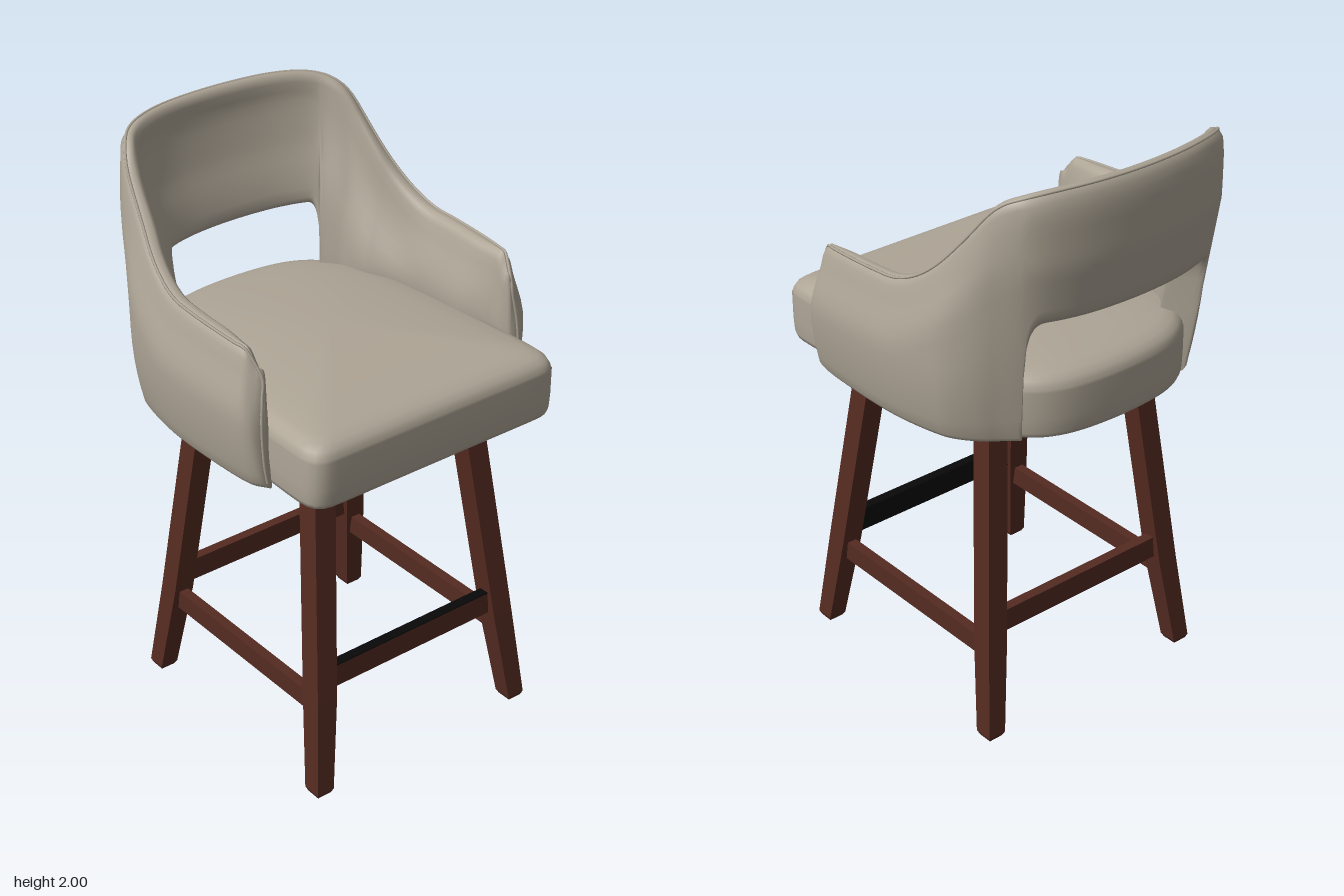
import * as THREE from 'three';

const V2 = THREE.Vector2, V3 = THREE.Vector3;
const mix = THREE.MathUtils.lerp;
const ss = (a, b, x) => THREE.MathUtils.smoothstep(x, a, b);

const fabric = new THREE.MeshStandardMaterial({ color: 0xaea596 });
fabric.name = 'taupeUpholstery';
const wood = new THREE.MeshStandardMaterial({ color: 0x542b21 });
wood.name = 'darkWood';
const metal = new THREE.MeshStandardMaterial({ color: 0x080808 });
metal.name = 'blackMetal';

function add(group, name, geometry, material, x = 0, y = 0, z = 0) {
  const mesh = new THREE.Mesh(geometry, material);
  mesh.name = name;
  mesh.position.set(x, y, z);
  group.add(mesh);
}

// Skin a list of equal-length closed rings, with fans on both ends
function loft(rings) {
  const n = rings[0].length, pos = rings.flat().flatMap(p => [p.x, p.y, p.z]), idx = [];
  for (let i = 0; i < rings.length - 1; i++) {
    for (let j = 0; j < n; j++) {
      const k = (j + 1) % n, a = i * n + j, b = a + n, c = i * n + k, d = c + n;
      idx.push(a, b, c, b, d, c);
    }
  }
  [0, rings.length - 1].forEach((r, end) => {
    const mid = rings[r].reduce((s, p) => s.add(p), new V3()).divideScalar(n);
    const m = pos.length / 3;
    pos.push(mid.x, mid.y, mid.z);
    for (let j = 0; j < n; j++) {
      const a = r * n + j, b = r * n + (j + 1) % n;
      if (end) idx.push(m, b, a); else idx.push(m, a, b);
    }
  });
  const g = new THREE.BufferGeometry();
  g.setAttribute('position', new THREE.Float32BufferAttribute(pos, 3));
  g.setIndex(idx);
  g.computeVertexNormals();
  return g;
}

// Mirror a half outline that runs from the front to the centre of the back
const mirrored = half => [...half, ...half.slice(0, -1).reverse().map(([x, z]) => [-x, z])];
const planCurve = half => new THREE.SplineCurve(mirrored(half).map(p => new V2(...p)));

// Height of the rim: level arms, a concave sweep up, then a nearly flat back
function rimHeight(z) {
  const q = (Math.max(0, -z) / 0.45) ** 2;
  const sweep = (1 + q - Math.sqrt((1 - q) ** 2 + 0.02)) / 2;
  return 1.602 - 0.06 * Math.max(0, z) + 0.37 * sweep + 0.025 * ss(0.44, 0.59, -z)
    - 0.06 * ss(0.3, 0.375, z) ** 2;
}

// Wrap-around shell: arms and back in one padded band
function buildShell(group) {
  const plan = planCurve([
    [0.55, 0.375], [0.575, 0.3], [0.585, 0.15], [0.585, 0], [0.573, -0.13], [0.545, -0.26],
    [0.5, -0.37], [0.455, -0.44], [0.39, -0.51], [0.3, -0.555], [0.17, -0.585], [0, -0.596],
  ]);
  plan.arcLengthDivisions = 1000;
  const N = 240, length = plan.getLength(), rings = [], rim = [];

  for (let i = 0; i <= N; i++) {
    const p = plan.getPointAt(i / N), t = plan.getTangentAt(i / N);
    const nx = -t.y, nz = t.x, back = ss(0.26, 0.52, -p.y), front = ss(0.15, 0.375, p.y);
    const top = rimHeight(p.y);
    // The lower edge steps up to leave the opening under the back
    const k = THREE.MathUtils.clamp((Math.abs(p.x) - 0.31) / 0.09, 0, 1);
    const bottom = 1.12 + 0.435 * (1 - k ** 4) ** 0.25;
    // Rounded front ends of the arms
    const e = Math.min(1, Math.min(i, N - i) / N * length / 0.05);
    const round = mix(0.35, 1, Math.sqrt(1 - (1 - e) ** 2));
    const ramp = mix(0.22, 0.42, ss(0, 0.4, -p.y));
    // Extra padding where the arms turn into the back
    const bolster = 0.035 * Math.exp(-(((p.y + 0.28) / 0.12) ** 2));

    const section = (y, inset) => {
      const s = top - y;
      const armIn = 0.045 * (1 - ss(0, 0.22, s)) + 0.035 * (Math.max(0, 1.4 - y) / 0.27) ** 2;
      const backIn = 0.09 * Math.max(0, 1.75 - y) / 0.62 + 0.012 * ss(1.9, 2, y);
      const armTh = 0.06 + (0.1 + bolster) * ss(0, ramp, s) - 0.07 * (1 - ss(1.14, 1.36, y));
      const backTh = 0.05 + 0.068 * ss(0, 0.42, s);
      const d = mix(armIn, backIn, back);
      const th = mix(armTh, backTh, back) * (1 - 0.35 * front);
      const half = (th / 2 - inset) * round;
      const lean = 0.07 * (1.4 - y) * front;
      return [-half, half].map(h => {
        const o = d + th / 2 + h;
        return new V3(p.x - nx * o, y, p.y - nz * o + lean);
      });
    };
    const levels = [[bottom, 0.022], [bottom + 0.008, 0.008], [bottom + 0.025, 0]];
    for (let j = 1; j < 12; j++) levels.push([mix(bottom + 0.025, top - 0.03, j / 12), 0]);
    levels.push([top - 0.03, 0], [top - 0.01, 0.008], [top, 0.02]);
    const pairs = levels.map(l => section(...l));
    rings.push([...pairs.map(q => q[0]), ...pairs.map(q => q[1]).reverse()]);
    if (i % 3 === 0) rim.push(section(top - 0.004, 0.012)[0]);
  }
  add(group, 'armAndBackShell', loft(rings), fabric);

  // Piping along the rim and down the front of each arm
  const edge = r => rings[r].slice(2, 16).filter((_, j) => j % 2 === 0);
  const path = new THREE.CatmullRomCurve3([...edge(0), ...rim.slice(1, -1), ...edge(N).reverse()]);
  add(group, 'rimPiping', new THREE.TubeGeometry(path, 240, 0.005, 6), fabric);
}

// Crowned seat cushion: scaled copies of one outline from the crown down
function buildSeat(group) {
  const pts = planCurve([
    [0, 0.595], [0.2, 0.595], [0.4, 0.595], [0.455, 0.588], [0.482, 0.56], [0.49, 0.5], [0.483, 0.3],
    [0.465, 0], [0.43, -0.25], [0.35, -0.41], [0.22, -0.497], [0, -0.522],
  ]).getSpacedPoints(140).slice(0, -1);
  const levels = [[0.1, 1.38], [0.3, 1.378], [0.55, 1.37], [0.75, 1.36], [0.88, 1.35], [0.94, 1.34],
    [0.975, 1.325], [0.99, 1.31], [0.994, 1.3], [1, 1.292], [1, 1.2], [0.996, 1.15], [0.985, 1.134],
    [0.96, 1.128], [0.5, 1.128]];
  const rings = levels.map(([s, y]) => pts.map(p => new V3(p.x * s, y, 0.04 + (p.y - 0.04) * s)));
  add(group, 'seatCushion', loft(rings), fabric);
}

// Splayed, slightly bent leg: rows of a box moved to [y, x, z, half width]
function legGeometry(rows) {
  const g = new THREE.BoxGeometry(2, 3, 2, 1, 3, 1), a = g.getAttribute('position');
  for (let i = 0; i < a.count; i++) {
    const [y, x, z, h] = rows[Math.round(a.getY(i) + 1.5)];
    a.setXYZ(i, x + a.getX(i) * h, y, z + a.getZ(i) * h);
  }
  const flat = g.toNonIndexed();
  flat.computeVertexNormals();
  return flat;
}

function buildBase(group) {
  for (const side of [1, -1]) {
    const name = side > 0 ? 'left' : 'right';
    add(group, name + 'FrontLeg', legGeometry([[0, side * 0.418, 0.521, 0.026],
      [0.015, side * 0.417, 0.52, 0.033], [0.34, side * 0.378, 0.473, 0.039],
      [1.13, side * 0.3, 0.36, 0.04]]), wood);
    add(group, name + 'BackLeg', legGeometry([[0, side * 0.418, -0.364, 0.026],
      [0.015, side * 0.417, -0.363, 0.033], [0.34, side * 0.378, -0.317, 0.038],
      [1.13, side * 0.3, -0.23, 0.038]]), wood);
    add(group, name + 'Apron', new THREE.BoxGeometry(0.035, 0.085, 0.56), wood, side * 0.305, 1.075, 0.065);
    add(group, name + 'Stretcher', new THREE.BoxGeometry(0.035, 0.07, 0.74), wood, side * 0.379, 0.305, 0.08);
  }
  add(group, 'frontApron', new THREE.BoxGeometry(0.58, 0.085, 0.035), wood, 0, 1.083, 0.366);
  add(group, 'backApron', new THREE.BoxGeometry(0.58, 0.085, 0.035), wood, 0, 1.083, -0.236);
  add(group, 'frontStretcher', new THREE.BoxGeometry(0.7, 0.08, 0.03), wood, 0, 0.396, 0.466);
  add(group, 'backStretcher', new THREE.BoxGeometry(0.7, 0.08, 0.035), wood, 0, 0.396, -0.31);
  // Kick plate over the top and rear of the front stretcher
  add(group, 'kickPlateTop', new THREE.BoxGeometry(0.69, 0.004, 0.032), metal, 0, 0.438, 0.465);
  add(group, 'kickPlateRear', new THREE.BoxGeometry(0.69, 0.083, 0.005), metal, 0, 0.3975, 0.4485);
}

export function createModel() {
  const model = new THREE.Group();
  model.name = 'counterStool';
  const parts = { upholsteredShell: buildShell, seat: buildSeat, woodenBase: buildBase };
  for (const [name, build] of Object.entries(parts)) {
    const group = new THREE.Group();
    group.name = name;
    build(group);
    model.add(group);
  }
  return model;
}
